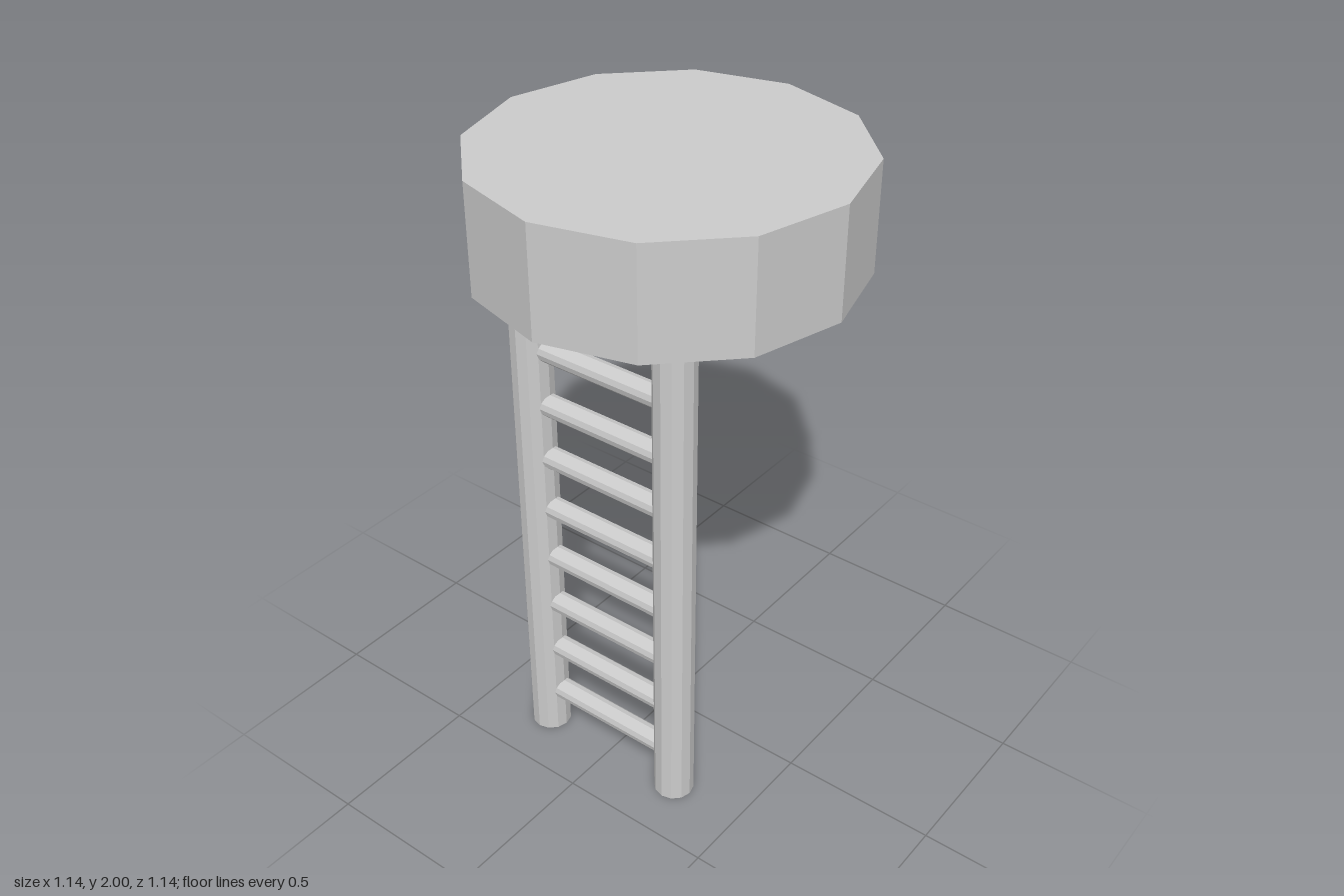
import * as THREE from 'three';

const SIDES = 12;

export function createModel() {
  const group = new THREE.Group();
  const material = new THREE.MeshStandardMaterial({ color: 0xcccccc, flatShading: true });

  const add = (name, geometry, x, y, z) => {
    const mesh = new THREE.Mesh(geometry, material);
    mesh.name = name;
    mesh.position.set(x, y, z);
    group.add(mesh);
  };

  // Hollow round cap, open underneath: ceiling, inner wall, bottom rim, outer wall, lid
  const profile = [
    [0, 1.995], [0.46, 1.995], [0.46, 1.66], [0.572, 1.66], [0.572, 2], [0, 2],
  ].map(([r, y]) => new THREE.Vector2(r, y));
  add('cap', new THREE.LatheGeometry(profile, SIDES), 0, 0, 0);

  // Ladder near the front, reaching up into the cap
  const ladderZ = 0.305, railX = 0.257, railHeight = 1.996;
  const railGeometry = new THREE.CylinderGeometry(0.063, 0.063, railHeight, SIDES);
  add('leftRail', railGeometry, railX, railHeight / 2, ladderZ);
  add('rightRail', railGeometry, -railX, railHeight / 2, ladderZ);

  // Rungs run between the rails
  const rungGeometry = new THREE.CylinderGeometry(0.035, 0.035, railX * 2, SIDES);
  rungGeometry.rotateZ(Math.PI / 2);
  for (let i = 0; i < 10; i++) {
    add(`rung${i + 1}`, rungGeometry, 0, 0.156 + i * 0.1833, ladderZ);
  }

  return group;
}
